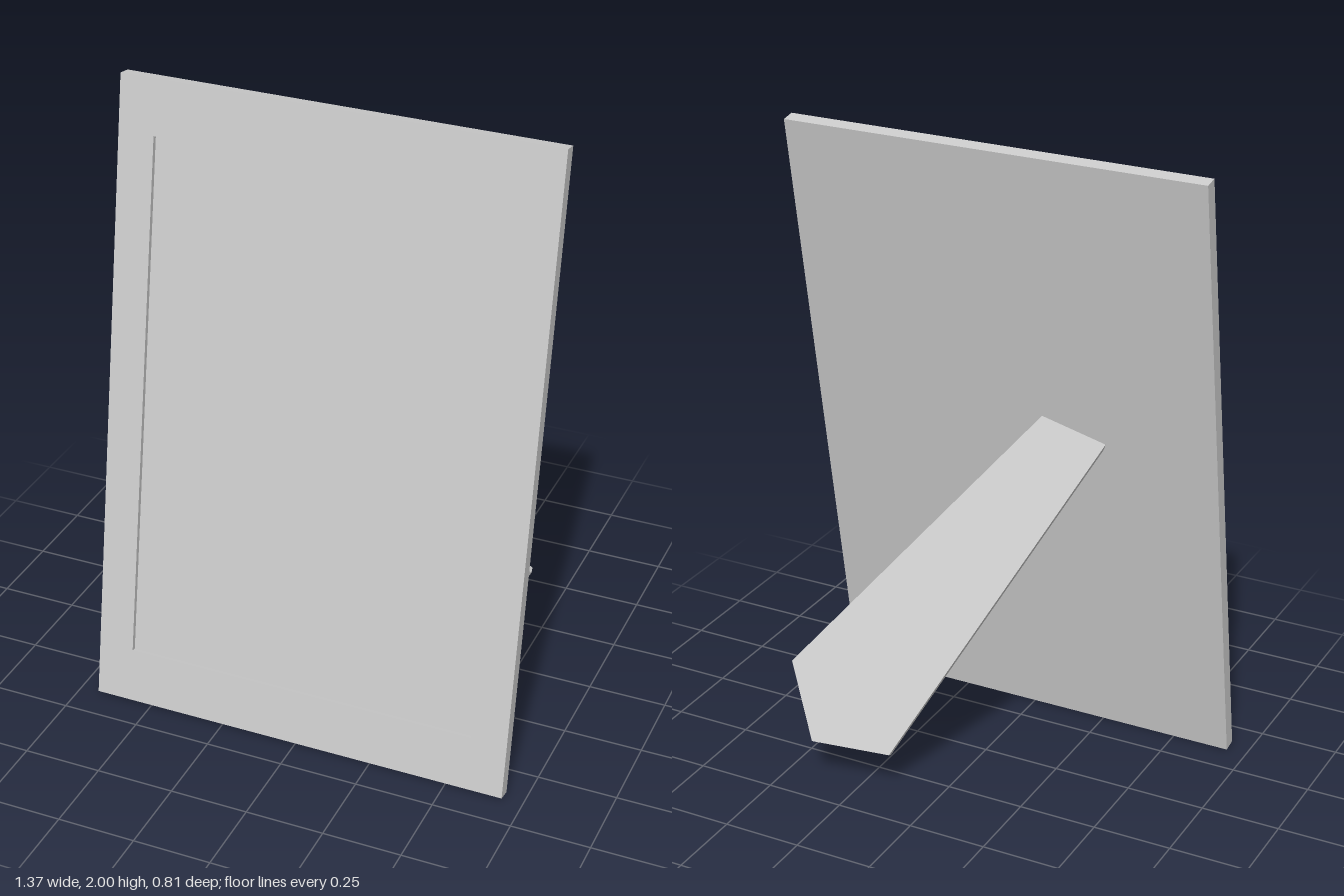
import * as THREE from 'three';

const material = new THREE.MeshStandardMaterial({ color: 0xcccccc, flatShading: true });

function addMesh(parent, name, geometry) {
  const mesh = new THREE.Mesh(geometry, material);
  mesh.name = name;
  parent.add(mesh);
  return mesh;
}

function shapeFrom(points) {
  return new THREE.Shape(points.map(([x, y]) => new THREE.Vector2(x, y)));
}

// Leaning frame: back panel plus a raised border around the picture recess
function createFrame() {
  const W = 0.685, H = 2.022, thickness = 0.045, recess = 0.015;
  const panelDepth = thickness - recess;
  const frame = new THREE.Group();
  frame.name = 'frame';

  const panel = addMesh(frame, 'backPanel', new THREE.BoxGeometry(2 * W, H, panelDepth));
  panel.position.set(0, H / 2, panelDepth / 2);

  const border = shapeFrom([[-W, 0], [W, 0], [W, H], [-W, H]]);
  const w = 0.57, low = 0.175, high = 1.85;
  border.holes.push(shapeFrom([[-w, low], [-w, high], [w, high], [w, low]]));
  addMesh(frame, 'frameBorder',
    new THREE.ExtrudeGeometry(border, { depth: recess, bevelEnabled: false })).position.z = panelDepth;

  frame.rotation.x = -0.1717;
  frame.position.z = 0.355;
  return frame;
}

// Easel leg: a flat five-sided slab splayed out behind the frame
function createLeg(parent) {
  const thickness = 0.02;
  const corners = [
    [-0.11, 1.127, 0.159], [-0.321, 1.07, 0.169],
    [0.145, 0.14, -0.375], [0.40, 0.135, -0.40], [0.515, 0.354, -0.325],
  ].map((p) => new THREE.Vector3(...p));

  // Axes of the slab's plane, with n pointing up and back
  const origin = corners[0];
  const n = new THREE.Vector3(-0.145, 0.436, -0.888).normalize();
  const u = corners[4].clone().sub(origin).projectOnPlane(n).normalize();
  const v = n.clone().cross(u);
  const outline = corners.map((c) => {
    const d = c.clone().sub(origin);
    return [d.dot(u), d.dot(v)];
  });

  const geometry = new THREE.ExtrudeGeometry(shapeFrom(outline), { depth: thickness, bevelEnabled: false });
  geometry.translate(0, 0, -thickness);
  geometry.applyMatrix4(new THREE.Matrix4().makeBasis(u, v, n).setPosition(origin));
  addMesh(parent, 'easelLeg', geometry);
}

export function createModel() {
  const model = new THREE.Group();
  model.name = 'pictureFrame';
  model.add(createFrame());
  createLeg(model);
  return model;
}
